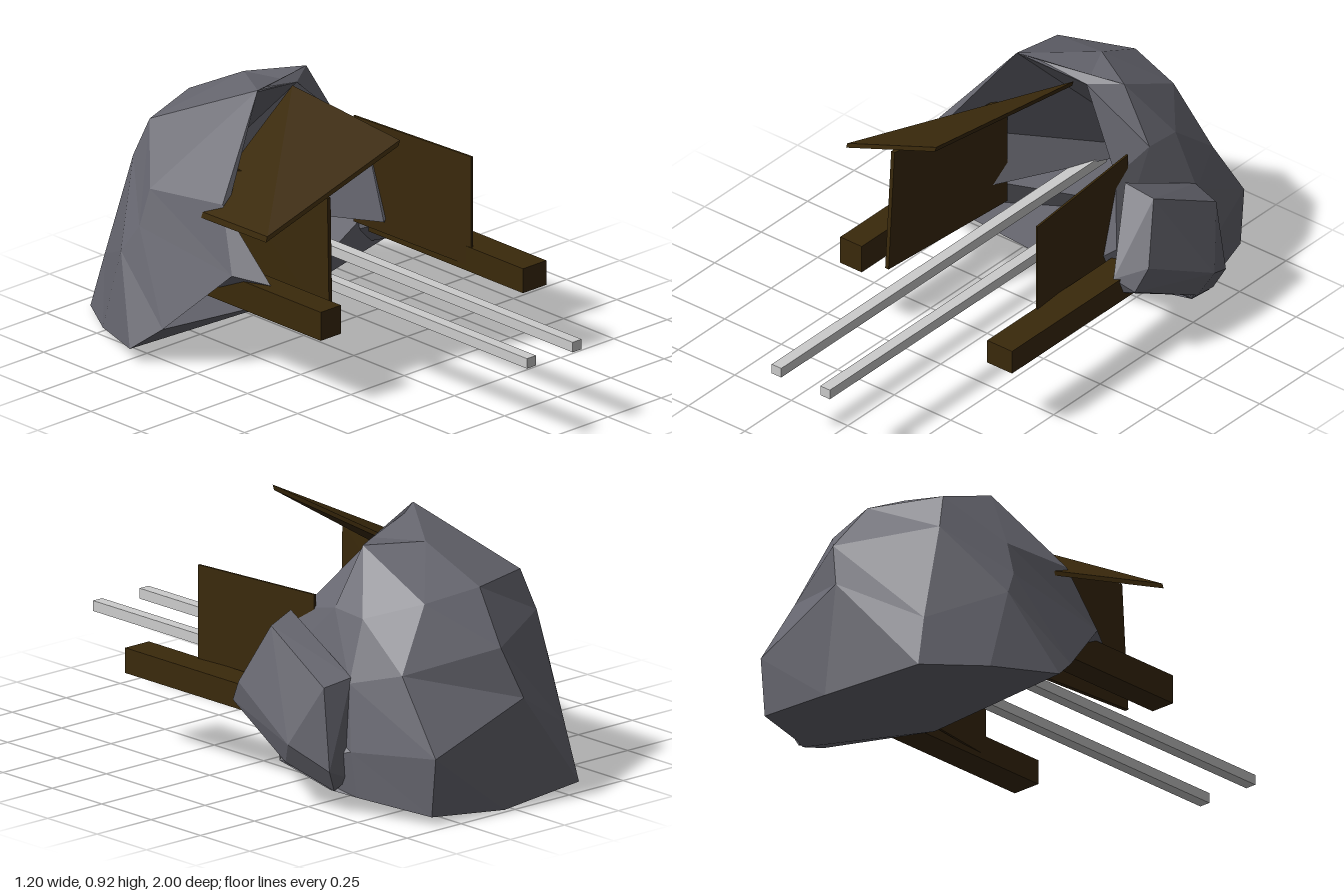
import * as THREE from 'three';
import { ConvexGeometry } from 'three/addons/geometries/ConvexGeometry.js';

const rock = new THREE.MeshStandardMaterial({ color: 0x66666f, flatShading: true, side: THREE.DoubleSide });
rock.name = 'grey rock';
const wood = new THREE.MeshStandardMaterial({ color: 0x3a290b, flatShading: true });
wood.name = 'dark wood';
const steel = new THREE.MeshStandardMaterial({ color: 0xcccccc, flatShading: true });
steel.name = 'rail steel';

function add(group, name, geometry, material) {
  const mesh = new THREE.Mesh(geometry, material);
  mesh.name = name;
  group.add(mesh);
}

// Triangle soup from a list of corner points
function soup(points) {
  const g = new THREE.BufferGeometry();
  g.setAttribute('position', new THREE.Float32BufferAttribute(points.flat(), 3));
  g.computeVertexNormals();
  return g;
}

// Skin between two rows of equal length
function loft(a, b, closed = false) {
  const out = [], n = a.length;
  for (let i = 0; i < (closed ? n : n - 1); i++) {
    const j = (i + 1) % n;
    out.push(a[i], b[i], a[j], a[j], b[i], b[j]);
  }
  return out;
}

function fan(center, row, closed = false) {
  const out = [], n = row.length;
  for (let i = 0; i < (closed ? n : n - 1); i++) out.push(center, row[i], row[(i + 1) % n]);
  return out;
}

// Straight bar given by its limits on each axis
function bar(x0, x1, y0, y1, z0, z1) {
  return new THREE.BoxGeometry(x1 - x0, y1 - y0, z1 - z0)
    .translate((x0 + x1) / 2, (y0 + y1) / 2, (z0 + z1) / 2);
}

// Board through four corners, thickened along t
function board(corners, t) {
  const pts = [];
  for (const c of corners) {
    pts.push(new THREE.Vector3(...c), new THREE.Vector3(c[0] + t[0], c[1] + t[1], c[2] + t[2]));
  }
  return new ConvexGeometry(pts);
}

export function createModel() {
  const model = new THREE.Group();
  model.name = 'mineEntrance';

  // Rock shell: rows from the ground up, each from the right jamb round the back to the left jamb
  const rows = [
    [[-0.6, 0.05, -0.48], [-0.5, 0.03, -0.72], [-0.36, 0.01, -0.93], [0.03, 0, -0.98], [0.34, 0.03, -0.95], [0.44, 0.06, -0.68], [0.49, 0.08, -0.6]],
    [[-0.55, 0.14, -0.37], [-0.5, 0.34, -0.63], [-0.34, 0.21, -0.88], [-0.04, 0.39, -1], [0.34, 0.24, -0.97], [0.45, 0.22, -0.66], [0.56, 0.16, -0.42]],
    [[-0.45, 0.38, -0.13], [-0.47, 0.44, -0.57], [-0.31, 0.6, -0.77], [0.02, 0.57, -0.95], [0.34, 0.5, -0.8], [0.42, 0.45, -0.62], [0.4, 0.4, -0.21]],
    [[-0.4, 0.6, -0.23], [-0.43, 0.57, -0.56], [-0.28, 0.74, -0.72], [-0.01, 0.75, -0.81], [0.2, 0.72, -0.76], [0.34, 0.66, -0.6], [0.34, 0.67, -0.46]],
  ];
  const peak = [-0.14, 0.92, -0.33], back = [0.03, 0.87, -0.58];
  const shoulder = [0.22, 0.87, -0.47], brow = [0.11, 0.86, -0.4], lip = [0.06, 0.07, -0.4];
  rows.push([peak, peak, peak, back, back, shoulder, shoulder]);
  const shell = [];
  for (let r = 0; r < rows.length - 1; r++) shell.push(...loft(rows[r + 1], rows[r]));
  shell.push(...fan(brow, [shoulder, back, peak]));
  // Underside
  shell.push(...fan(lip, [rows[1][0], ...rows[0], rows[1][6]]));
  add(model, 'rockShell', soup(shell), rock);

  // Mouth: rim and low floor, then walls running deep to one point at the back
  const outer = [
    rows[3][0], peak, shoulder, rows[3][6], rows[2][6], rows[1][6], lip, rows[1][0], rows[1][0], rows[2][0],
  ];
  const inner = [
    [-0.39, 0.57, -0.22], [-0.14, 0.91, -0.34], brow, [0.33, 0.63, -0.29], [0.33, 0.34, -0.2],
    [0.5, 0.3, -0.42], [0.16, 0.11, -0.88], [-0.35, 0.25, -0.45], [-0.44, 0.28, -0.32], [-0.38, 0.36, -0.01],
  ];
  add(model, 'caveRim', soup(loft(outer, inner, true)), rock);
  add(model, 'caveInterior', soup(fan([0.01, 0.3, -0.92], inner, true)), rock);

  // Boulder leaning on the left side
  const boulder = [
    [0.38, 0.63, -0.28], [0.49, 0.6, -0.3], [0.41, 0.47, -0.62], [0.52, 0.45, -0.6],
    [0.595, 0.24, -0.5], [0.55, 0.39, -0.2], [0.53, 0.31, -0.15], [0.46, 0.35, -0.12], [0.46, 0.28, -0.15],
    [0.4, 0.32, -0.22], [0.56, 0.16, -0.45], [0.53, 0.16, -0.64], [0.49, 0.08, -0.62], [0.44, 0.12, -0.64],
  ].map((p) => new THREE.Vector3(...p));
  add(model, 'sideBoulder', new ConvexGeometry(boulder), rock);

  // Timber: sloping roof board, two thin wall boards and two ground beams
  add(model, 'roofBoard', board(
    [[-0.52, 0.62, 0.12], [-0.02, 0.875, 0.25], [0.07, 0.865, -0.38], [-0.41, 0.55, -0.34]],
    [-0.006, -0.02, 0]), wood);
  add(model, 'rightWallBoard', board(
    [[-0.295, 0.24, 0.19], [-0.285, 0.71, 0.17], [-0.255, 0.66, -0.4], [-0.255, 0.24, -0.4]],
    [0.015, 0, 0]), wood);
  add(model, 'leftWallBoard', board(
    [[0.372, 0.28, 0.19], [0.372, 0.685, 0.19], [0.328, 0.69, -0.35], [0.328, 0.3, -0.35]],
    [0.008, 0, 0]), wood);
  add(model, 'rightBeam', bar(-0.42, -0.325, 0.255, 0.36, -0.3, 0.28), wood);
  add(model, 'leftBeam', bar(0.37, 0.48, 0.26, 0.35, -0.32, 0.45), wood);

  // Rails
  for (const [name, x] of [['rightRail', -0.11], ['leftRail', 0.105]]) {
    add(model, name, bar(x - 0.021, x + 0.021, 0.285, 0.322, -0.75, 1), steel);
  }
  return model;
}
